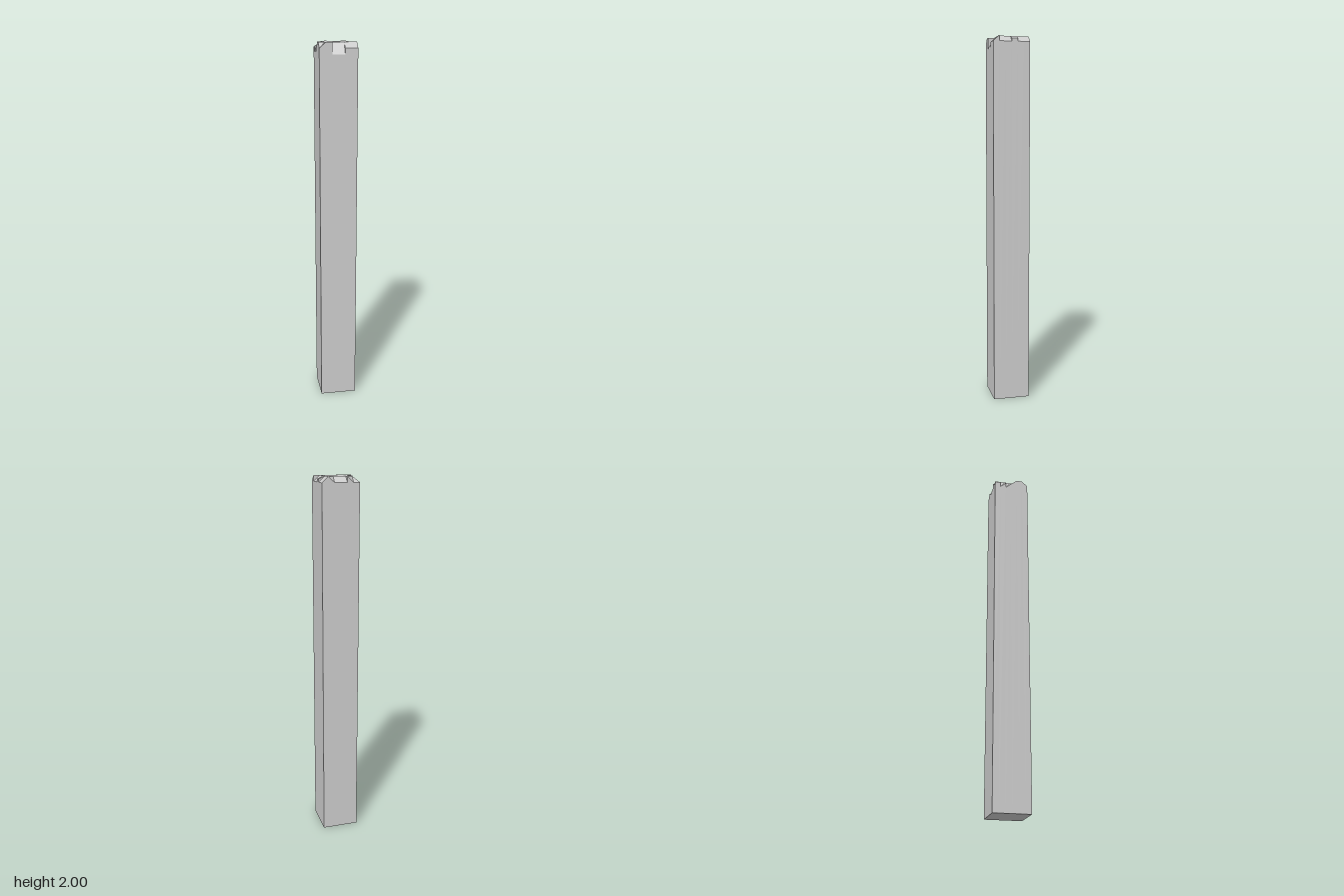
import * as THREE from 'three';

const H = 2, R = 0.1, IN = 0.0667, SEG = 6;

// Rim height drop at the two ends of each segment, side by side around the post
const F = 0.03, D = 0.06;
const sides = [
  [[F, 0], [0, 0], [D, D], [D, D], [F, F], [F, F]],         // front
  [[F, 0], [F, F], [F, F], [0.015, 0.015], [F, F], [F, F]], // right
  [[F, 0], [0, F], [F, F], [F, F], [0, F], [F, F]],         // back
  [[F, F], [D, F], [D, F], [F, 0], [0, 0], [0, F]],         // left
];

function meshFrom(name, tris) {
  const geo = new THREE.BufferGeometry().setFromPoints(tris.flat());
  geo.computeVertexNormals();
  const mat = new THREE.MeshStandardMaterial({ color: 0xcccccc, flatShading: true, side: THREE.DoubleSide });
  const mesh = new THREE.Mesh(geo, mat);
  mesh.name = name;
  return mesh;
}

function createModel() {
  const group = new THREE.Group();
  group.name = 'post';
  const shaft = [], rim = [], top = [];
  const up = new THREE.Vector3(0, 1, 0);

  sides.forEach((drops, k) => {
    const pt = (x, y, z) => new THREE.Vector3(x, y, z).applyAxisAngle(up, k * Math.PI / 2);
    drops.forEach(([a, b], i) => {
      const x0 = -R + 2 * R * i / SEG, x1 = -R + 2 * R * (i + 1) / SEG;
      const inner = x => pt(THREE.MathUtils.clamp(x, -IN, IN), H, IN);
      const A = pt(x0, H - a, R), B = pt(x1, H - b, R);
      const P = pt(x0, 0, R), Q = pt(x1, 0, R);

      // Side wall up to the chipped edge
      shaft.push([P, Q, B], [P, B, A]);

      // Chipped slope from the edge to the flat top
      if (i === 0) rim.push([A, B, inner(x1)]);
      else if (i === SEG - 1) rim.push([A, B, inner(x0)]);
      else rim.push([A, B, inner(x1)], [A, inner(x1), inner(x0)]);

      // Upright cheek where neighbouring chips differ in depth
      const next = drops[i + 1];
      if (next && next[0] !== b) {
        const C = pt(x1, H - next[0], R);
        rim.push(next[0] > b ? [B, C, inner(x1)] : [C, B, inner(x1)]);
      }
    });
    // Quarter of the flat top and of the base
    top.push([pt(-IN, H, IN), pt(IN, H, IN), pt(0, H, 0)]);
    shaft.push([pt(R, 0, R), pt(-R, 0, R), pt(0, 0, 0)]);
  });

  group.add(meshFrom('shaft', shaft), meshFrom('chippedRim', rim), meshFrom('flatTop', top));
  return group;
}

export { createModel };
